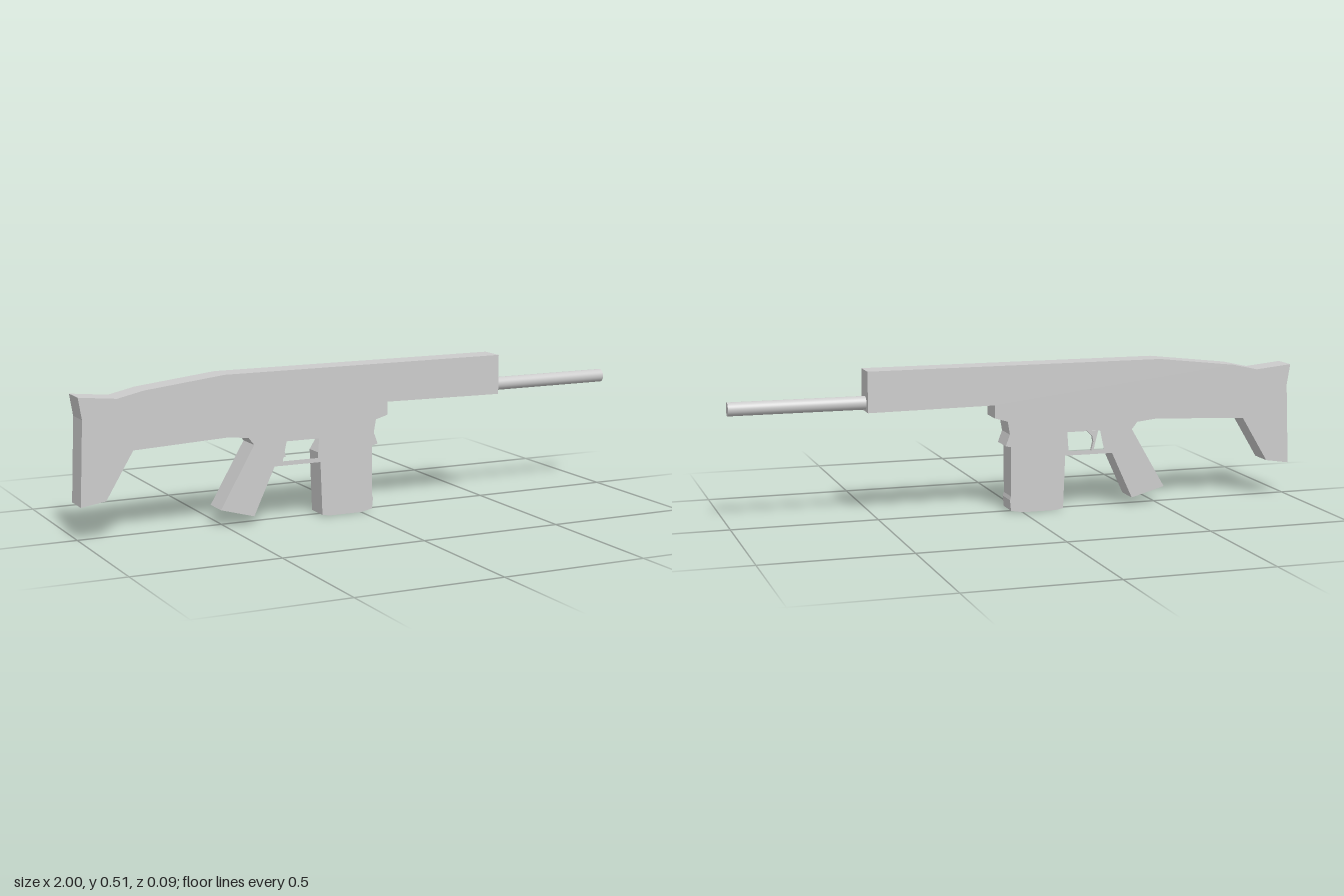
import * as THREE from 'three';

const material = new THREE.MeshStandardMaterial({ color: 0xcccccc, flatShading: true });
const smooth = new THREE.MeshStandardMaterial({ color: 0xcccccc });

const toPoints = (pairs) => pairs.map(([x, y]) => new THREE.Vector2(x, y));

// Flat side profile extruded from z0 to z1
function slab(name, outline, z0, z1, holes = []) {
  const shape = new THREE.Shape(toPoints(outline));
  for (const hole of holes) shape.holes.push(new THREE.Path(toPoints(hole)));
  const geometry = new THREE.ExtrudeGeometry(shape, { depth: z1 - z0, bevelEnabled: false });
  geometry.translate(0, 0, z0);
  const mesh = new THREE.Mesh(geometry, material);
  mesh.name = name;
  return mesh;
}

export function createModel() {
  const model = new THREE.Group();
  model.name = 'rifle';

  // Stock, receiver, grip and trigger guard in one profile
  const body = [
    // stock and top edge
    [-0.988, 0.4], [-1, 0.473], [-0.87, 0.46], [-0.78, 0.48], [-0.5, 0.512], [0.54, 0.512],
    // handguard underside and magazine well
    [0.54, 0.373], [0.1, 0.378], [0.1, 0.333], [0.055, 0.32], [0.047, 0.275], [0.062, 0.235],
    [0.04, 0.23], [-0.155, 0.19],
    // guard and grip
    [-0.325, 0.19], [-0.4, 0.027], [-0.52, 0.06], [-0.398, 0.27], [-0.418, 0.295],
    // stock underside
    [-0.49, 0.303], [-0.82, 0.288], [-0.915, 0.13], [-1, 0.117],
  ];
  const triggerOpening = [[-0.28, 0.272], [-0.16, 0.272], [-0.165, 0.205], [-0.295, 0.205]];
  model.add(slab('body', body, -0.043, 0.048, [triggerOpening]));

  // Magazine, slightly narrower than the body
  const magazine = [
    [-0.155, 0.22], [-0.147, 0.005], [-0.12, 0], [0, 0], [0.042, 0.008],
    [0.046, 0.045], [0.042, 0.058], [0.042, 0.26], [-0.13, 0.26],
  ];
  model.add(slab('magazine', magazine, -0.039, 0.045));

  // Thin curved trigger
  const trigger = [
    [-0.272, 0.274], [-0.262, 0.235], [-0.254, 0.2], [-0.246, 0.202],
    [-0.254, 0.235], [-0.25, 0.255], [-0.23, 0.274],
  ];
  model.add(slab('trigger', trigger, -0.047, -0.035));

  // Barrel
  const barrel = new THREE.Mesh(new THREE.CylinderGeometry(0.023, 0.023, 0.5, 32), smooth);
  barrel.name = 'barrel';
  barrel.rotation.z = -Math.PI / 2;
  barrel.position.set(0.75, 0.402, 0);
  model.add(barrel);

  return model;
}
